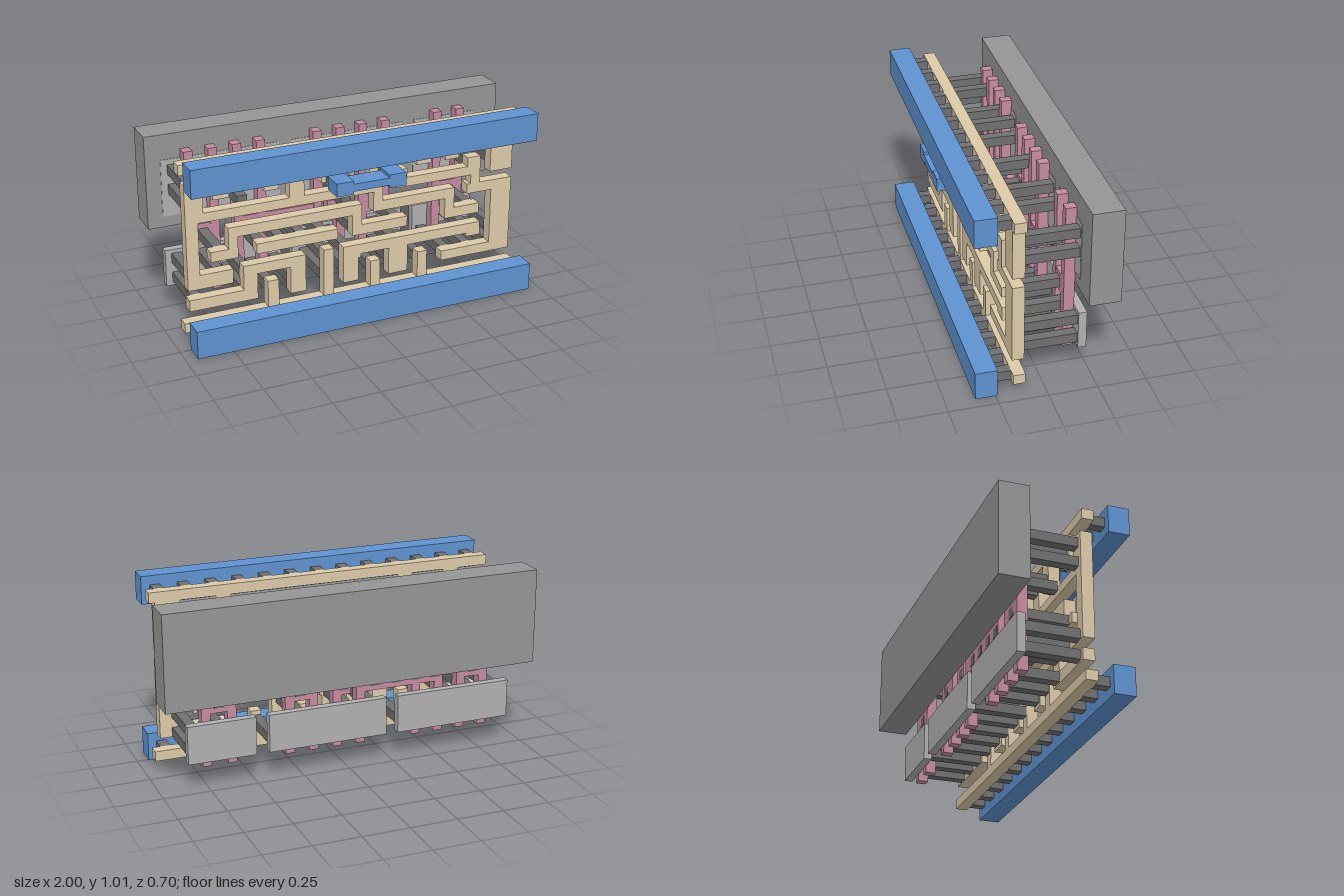
import * as THREE from 'three';

const mat = (color) => new THREE.MeshStandardMaterial({ color });

export function createModel() {
  const root = new THREE.Group();
  const blue = mat(0x5f92d0), tan = mat(0xdccaa8), dark = mat(0x707070);
  const pink = mat(0xc48ba0), grey = mat(0x959595), light = mat(0xb0b0b0);

  // One layer = boxes [x0, x1, y0, y1] sharing a depth range
  function layer(name, material, z0, z1, rects) {
    const group = new THREE.Group();
    group.name = name;
    rects.forEach(([x0, x1, y0, y1]) => {
      const mesh = new THREE.Mesh(new THREE.BoxGeometry(x1 - x0, y1 - y0, z1 - z0), material);
      mesh.position.set((x0 + x1) / 2, (y0 + y1) / 2, (z0 + z1) / 2);
      mesh.name = name + 'Part';
      group.add(mesh);
    });
    root.add(group);
  }
  // Square pin cross-sections along a row at height y
  const pins = (y, xs) => xs.map((x) => [x - 0.026, x + 0.026, y - 0.026, y + 0.026]);

  // Back slab and the thin pads
  layer('backSlab', grey, -0.35, -0.19, [[-1, 1, 0.487, 0.99]]);
  const padSpans = [[-0.92, -0.28], [-0.215, 0.43], [0.5, 0.86]];
  layer('lowerPads', light, -0.23, -0.187, padSpans.map(([a, b]) => [a, b, 0.15, 0.353]));
  layer('upperPads', light, -0.23, -0.187, padSpans.map(([a, b]) => [a, b, 0.545, 0.855]));

  // Upright gate bars with their cross links
  const gates = [-0.79, -0.66, -0.53, -0.4, -0.085, 0.045, 0.175, 0.305, 0.615, 0.75];
  layer('gateBars', pink, -0.19, -0.135, gates.map((x) => [x - 0.024, x + 0.024, 0.11, 0.9]));
  layer('gateLinks', pink, -0.189, -0.136, [
    [-0.81, -0.635, 0.39, 0.495],
    [-0.55, -0.065, 0.39, 0.495],
    [-0.03, 0.068, 0.39, 0.495],
    [0.155, 0.33, 0.39, 0.495],
    [0.595, 0.77, 0.39, 0.495],
    [-0.105, 0.01, 0.535, 0.637],
  ]);

  // Long pins reaching the pads and the gate links
  layer('padPins', dark, -0.188, 0.1, [
    ...pins(0.8, [-0.86, -0.725, -0.46, -0.325, -0.15, 0.115, 0.385, 0.55, 0.82]),
    ...pins(0.694, [-0.86, -0.595, -0.02, 0.25, 0.68, 0.82]),
    ...pins(0.307, [-0.86, -0.725, -0.595, -0.15, -0.02, 0.25, 0.68, 0.82]),
    ...pins(0.2, [-0.86, -0.595, -0.46, -0.325, -0.15, -0.02, 0.115, 0.25, 0.39, 0.55, 0.68, 0.82]),
  ]);
  layer('gatePins', dark, -0.191, 0.1, [
    ...pins(0.441, [-0.73, -0.51, -0.4, -0.285, -0.17, 0.01, 0.25, 0.68]),
    ...pins(0.587, [-0.03]),
  ]);

  // Tan rails and the stubs hanging from them
  layer('tanRails', tan, 0.1, 0.162, [
    [-0.94, 0.94, 0.905, 0.96],
    [-0.94, 0.94, 0.05, 0.103],
    [-0.77, -0.685, 0.75, 0.91],
    [-0.5, -0.42, 0.75, 0.91],
    [0.51, 0.59, 0.75, 0.91],
    [0.78, 0.91, 0.64, 0.91],
    [-0.49, -0.43, 0.1, 0.25],
    [-0.18, -0.125, 0.1, 0.365],
    [0.085, 0.14, 0.1, 0.25],
    [0.36, 0.415, 0.1, 0.25],
  ]);

  // Tan winding tracks
  layer('tanTracks', tan, 0.1, 0.162, [
    // left column and long upper track
    [-0.915, -0.85, 0.28, 0.85], [-0.915, -0.82, 0.64, 0.85], [-0.915, -0.675, 0.28, 0.357],
    [-0.915, 0.153, 0.64, 0.69], [-0.365, -0.285, 0.64, 0.845],
    [0.1, 0.153, 0.53, 0.69], [0.1, 0.57, 0.53, 0.585],
    [0.515, 0.57, 0.415, 0.585], [0.515, 0.72, 0.415, 0.47],
    // stepped middle track
    [-0.79, -0.645, 0.415, 0.47], [-0.695, -0.645, 0.415, 0.585], [-0.695, 0.035, 0.53, 0.585],
    [-0.02, 0.035, 0.415, 0.585], [-0.02, 0.295, 0.415, 0.47],
    [-0.545, -0.1, 0.415, 0.47],
    // centre pieces behind the small bridge
    [-0.19, -0.1, 0.74, 0.845], [0.075, 0.43, 0.8, 0.85],
    [0.075, 0.19, 0.74, 0.85], [0.345, 0.43, 0.75, 0.85],
    // right loop
    [0.23, 0.29, 0.64, 0.74], [0.23, 0.72, 0.64, 0.69], [0.645, 0.72, 0.64, 0.74],
    [0.665, 0.72, 0.535, 0.69], [0.645, 0.91, 0.535, 0.59],
    [0.79, 0.91, 0.173, 0.59], [0.5, 0.91, 0.173, 0.227],
    // lower left arch
    [-0.91, -0.545, 0.165, 0.227], [-0.62, -0.545, 0.165, 0.36],
    [-0.62, -0.28, 0.305, 0.36], [-0.365, -0.28, 0.155, 0.36],
    // lower right arch
    [-0.07, 0.03, 0.285, 0.36], [0.03, 0.73, 0.305, 0.36],
    [-0.07, 0.015, 0.155, 0.36], [0.19, 0.3, 0.155, 0.36], [0.65, 0.73, 0.285, 0.36],
  ]);

  // Short pins joining the tan rails to the blue rails
  const railPins = Array.from({ length: 13 }, (_, i) => (i - 6) * 0.145);
  layer('railPins', dark, 0.16, 0.24, [
    ...pins(0.932, railPins), ...pins(0.077, railPins), ...pins(0.772, [-0.14, 0.15]),
  ]);

  // Blue front rails and the small bridge
  layer('blueRails', blue, 0.24, 0.352, [[-0.94, 0.94, 0.858, 1.006], [-0.94, 0.94, 0, 0.15]]);
  layer('blueBridge', blue, 0.24, 0.352, [
    [-0.19, -0.098, 0.737, 0.808], [-0.1, 0.1, 0.752, 0.792], [0.098, 0.19, 0.737, 0.808],
  ]);
  return root;
}
